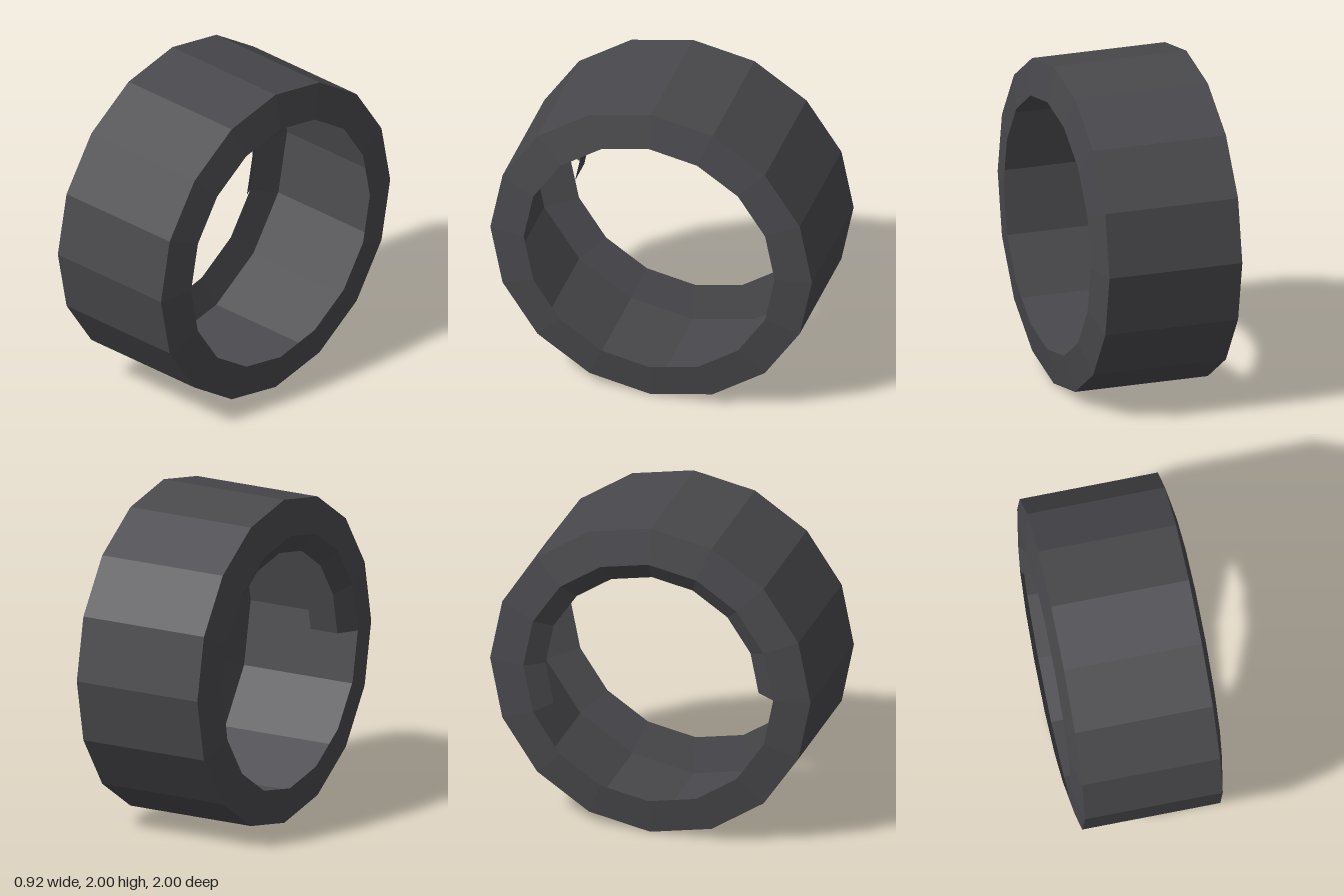
import * as THREE from 'three';

const SIDES = 16;
const STEP = (Math.PI * 2) / SIDES;

const darkRubber = new THREE.MeshStandardMaterial({
  color: 0x49484c, flatShading: true, side: THREE.DoubleSide,
});

// Sweeps a profile of [x, radius] points about the x axis.
// The sweep starts at the front (+z) and rises over the top towards the back.
function band(name, profile, segments) {
  const points = profile.map(([x, r]) => new THREE.Vector2(r, x));
  const arc = segments * STEP;
  const geometry = new THREE.LatheGeometry(points, segments, -arc, arc)
    .rotateZ(-Math.PI / 2)
    .toNonIndexed();
  geometry.computeVertexNormals();
  const mesh = new THREE.Mesh(geometry, darkRubber);
  mesh.name = name;
  mesh.position.y = 1;
  return mesh;
}

export function createModel() {
  const group = new THREE.Group();
  group.name = 'tyre';

  // Hollow outer shell: flat tread between two slightly tapered side walls
  group.add(band('rightSidewall', [[-0.458, 0.78], [-0.418, 1]], SIDES));
  group.add(band('tread', [[-0.418, 1], [0.418, 1]], SIDES));
  group.add(band('leftSidewall', [[0.418, 1], [0.458, 0.78]], SIDES));

  // Partial bead lip that turns inwards from the right opening
  group.add(band('beadLip', [[-0.385, 0.665], [-0.458, 0.78]], 9));

  // Single inner panel at the front end of the lip
  group.add(band('beadTab', [[-0.385, 0.665], [-0.2, 0.665]], 1));

  return group;
}
